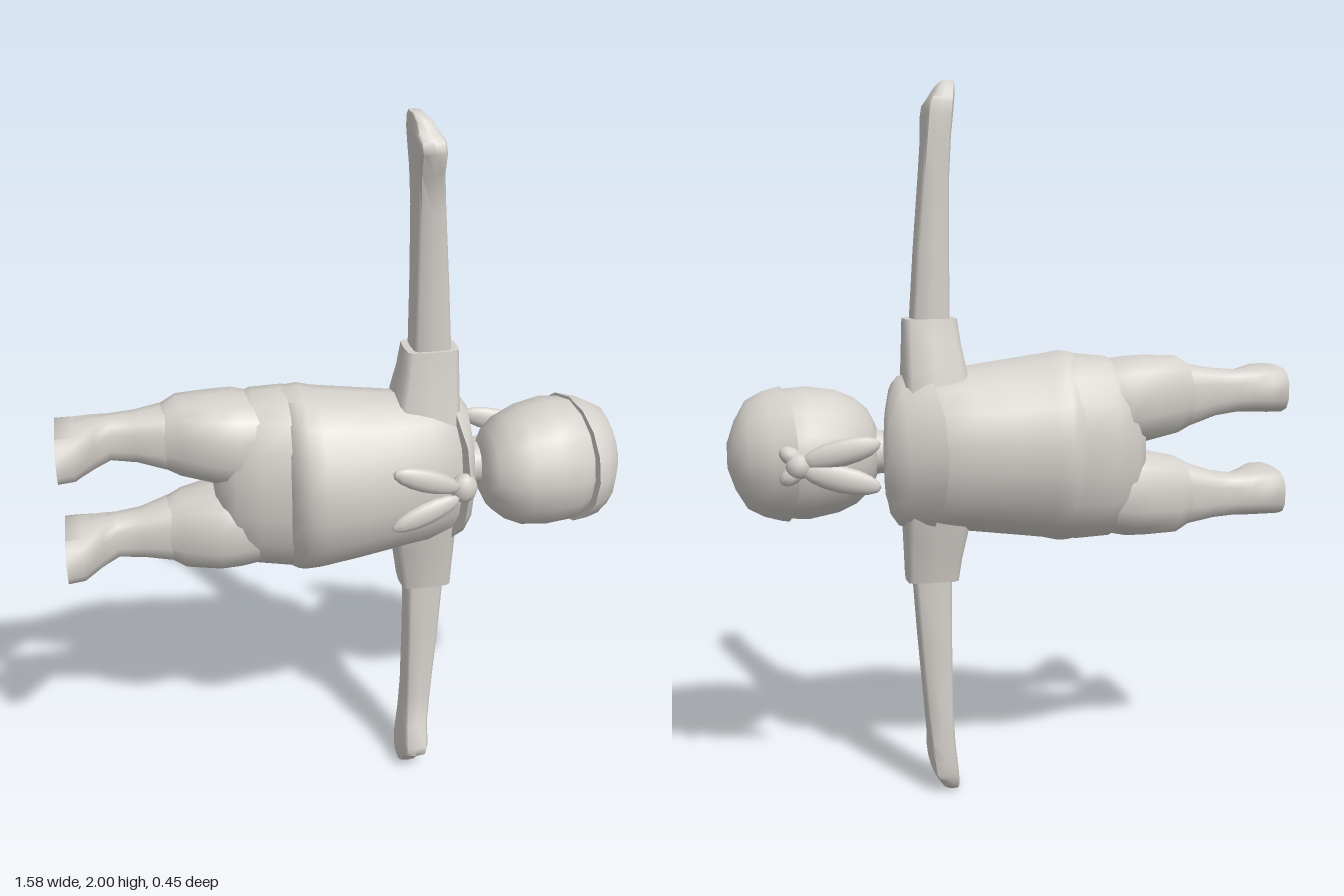
import * as THREE from 'three';
import { toCreasedNormals } from 'three/addons/utils/BufferGeometryUtils.js';

const clay = new THREE.MeshStandardMaterial({ color: 0xd4d0cb });
clay.name = 'warm grey clay';

// Skin elliptical sections along an axis (0 = x, 1 = y).
// Section: [position, uMin, uMax, vMin, vMax, tilt]; u and v are the next two axes in cyclic order.
function loft(axis, sections, { sides = 14, square = 1, crease = 0.95 } = {}) {
  const rings = [...sections].sort((a, b) => a[0] - b[0]);
  const u = (axis + 1) % 3, v = (axis + 2) % 3;
  const pos = [], index = [];
  const bend = (t) => Math.sign(t) * (Math.abs(t) < 1e-6 ? 0 : Math.abs(t) ** square);
  const put = (a, b, c, tilt) => {
    const p = [0, 0, 0];
    p[axis] = a + tilt * c; p[u] = b; p[v] = c;
    pos.push(...p);
  };
  for (const [a, u0, u1, v0, v1, tilt = 0] of rings) {
    for (let j = 0; j < sides; j++) {
      const t = (j / sides) * Math.PI * 2;
      put(a, (u0 + u1) / 2 + (u1 - u0) / 2 * bend(Math.cos(t)),
        (v0 + v1) / 2 + (v1 - v0) / 2 * bend(Math.sin(t)), tilt);
    }
  }
  for (let i = 0; i < rings.length - 1; i++) {
    for (let j = 0; j < sides; j++) {
      const k = (j + 1) % sides, a = i * sides, b = a + sides;
      index.push(a + j, a + k, b + j, a + k, b + k, b + j);
    }
  }
  // Close both ends
  const first = rings[0], last = rings[rings.length - 1], n = rings.length * sides;
  for (const [a, u0, u1, v0, v1, tilt = 0] of [first, last]) put(a, (u0 + u1) / 2, (v0 + v1) / 2, tilt);
  for (let j = 0; j < sides; j++) {
    const k = (j + 1) % sides, e = (rings.length - 1) * sides;
    index.push(n, k, j, n + 1, e + j, e + k);
  }
  const g = new THREE.BufferGeometry();
  g.setAttribute('position', new THREE.Float32BufferAttribute(pos, 3));
  g.setIndex(index);
  return toCreasedNormals(g, crease);
}

// Stretched ball laid from one point to another further along +x
function blob(from, to, width, depth) {
  const a = new THREE.Vector3(...from), b = new THREE.Vector3(...to);
  const g = new THREE.SphereGeometry(1, 10, 8);
  g.rotateZ(-Math.PI / 2);
  g.scale(a.distanceTo(b) / 2, width, depth);
  const dir = b.clone().sub(a).normalize();
  g.applyQuaternion(new THREE.Quaternion().setFromUnitVectors(new THREE.Vector3(1, 0, 0), dir));
  const m = a.add(b).multiplyScalar(0.5);
  g.translate(m.x, m.y, m.z);
  return g;
}

export function createModel() {
  const model = new THREE.Group();
  const add = (name, geometry) => {
    const mesh = new THREE.Mesh(geometry, clay);
    mesh.name = name;
    model.add(mesh);
  };

  // Shirt, neck and head run along x; the front faces +z
  add('shirt', loft(0, [
    [-0.18, 0.735, 1.265, -0.194, 0.166],
    [-0.15, 0.728, 1.272, -0.205, 0.205],
    [-0.13, 0.727, 1.273, -0.216, 0.218],
    [-0.09, 0.735, 1.265, -0.211, 0.23],
    [0.02, 0.75, 1.25, -0.20, 0.215],
    [0.13, 0.765, 1.235, -0.187, 0.192],
    [0.22, 0.77, 1.23, -0.168, 0.168],
    [0.30, 0.80, 1.20, -0.135, 0.14],
    [0.33, 0.86, 1.14, -0.08, 0.08],
  ], { sides: 18, crease: 1.2 }));
  add('collar', loft(0, [
    [0.262, 0.773, 1.227, -0.182, 0.172, 0.32],
    [0.322, 0.79, 1.21, -0.148, 0.145, 0.1],
    [0.345, 0.825, 1.175, -0.115, 0.11, -0.1],
    [0.353, 0.87, 1.13, -0.085, 0.08, -0.2],
  ], { sides: 12 }));
  add('neck', loft(0, [[0.32, 0.93, 1.07, -0.06, 0.07], [0.365, 0.94, 1.06, -0.055, 0.065], [0.42, 0.93, 1.07, -0.06, 0.08]]));
  add('head', loft(0, [
    [0.378, 0.93, 1.07, -0.045, 0.14],
    [0.40, 0.885, 1.115, -0.08, 0.17],
    [0.44, 0.85, 1.15, -0.115, 0.197],
    [0.49, 0.828, 1.172, -0.14, 0.217],
    [0.57, 0.815, 1.185, -0.16, 0.212],
    [0.64, 0.82, 1.18, -0.155, 0.20],
    [0.72, 0.86, 1.14, -0.12, 0.155],
  ], { sides: 16 }));
  add('headScarf', loft(0, [
    [0.635, 0.812, 1.188, -0.167, 0.205, 0.22],
    [0.685, 0.825, 1.175, -0.15, 0.195, 0.13],
    [0.733, 0.85, 1.15, -0.12, 0.165, 0.05],
    [0.765, 0.905, 1.095, -0.075, 0.115],
    [0.785, 0.965, 1.035, -0.02, 0.07],
  ], { sides: 16 }));

  // Seat of the trousers, rounded at the crotch
  add('trouserSeat', loft(0, [
    [-0.375, 0.95, 1.05, -0.07, 0.04],
    [-0.36, 0.88, 1.12, -0.12, 0.075],
    [-0.325, 0.775, 1.225, -0.168, 0.114],
    [-0.26, 0.742, 1.258, -0.2, 0.142],
    [-0.17, 0.734, 1.266, -0.194, 0.166],
    [-0.12, 0.74, 1.26, -0.19, 0.18],
  ], { sides: 18, square: 0.9, crease: 1.3 }));

  for (const s of [-1, 1]) {
    const side = s > 0 ? 'Upper' : 'Lower';
    const y = (d) => 1 + s * d;
    const span = (a, b) => (s > 0 ? [1 + a, 1 + b] : [1 - b, 1 - a]);

    // Trouser leg, tapering away inside the seat
    add('trouserLeg' + side, loft(0, [
      [-0.505, ...span(0.053, 0.232), -0.11, 0.04],
      [-0.465, ...span(0.032, 0.256), -0.125, 0.06],
      [-0.37, ...span(0.012, 0.258), -0.157, 0.108],
      [-0.31, ...span(0.0, 0.256), -0.17, 0.112],
      [-0.22, ...span(0.02, 0.24), -0.14, 0.1],
    ], { square: 0.8 }));

    // Shin and foot with a flat sole
    add('leg' + side, loft(0, [
      [-0.79, ...span(0.083, 0.218), -0.10, 0.148],
      [-0.745, ...span(0.083, 0.218), -0.10, 0.138],
      [-0.69, ...span(0.087, 0.215), -0.095, 0.06],
      [-0.65, ...span(0.09, 0.212), -0.088, 0.012],
      [-0.58, ...span(0.08, 0.217), -0.093, 0.022],
      [-0.505, ...span(0.055, 0.23), -0.109, 0.039],
      [-0.47, ...span(0.05, 0.235), -0.11, 0.04],
    ], { square: 0.65, crease: 1.6 }));

    // Boxy sleeve, then arm with a hand whose thumb side swells to +z
    add('sleeve' + side, loft(1, [
      [y(0.14), -0.10, 0.10, 0.12, 0.31],
      [y(0.23), -0.085, 0.085, 0.133, 0.308],
      [y(0.30), -0.067, 0.072, 0.147, 0.306],
      [y(0.368), -0.055, 0.064, 0.156, 0.304],
    ], { sides: 12, square: 0.35 }));
    add('arm' + side, loft(1, [
      [y(0.34), -0.049, 0.054, 0.176, 0.285],
      [y(0.55), -0.049, 0.058, 0.177, 0.27],
      [y(0.75), -0.048, 0.069, 0.175, 0.252],
      [y(0.85), -0.051, 0.082, 0.17, 0.243],
      [y(0.91), -0.052, 0.122, 0.163, 0.238],
      [y(0.94), -0.05, 0.118, 0.16, 0.234],
      [y(0.955), -0.047, 0.09, 0.159, 0.225],
      [y(0.985), -0.035, 0.075, 0.158, 0.205],
      [y(1.0), -0.012, 0.05, 0.158, 0.19],
    ], { sides: 12, square: 0.35 }));

    // Paired tails of the neckerchief and head scarf
    add('neckerchiefTail' + side, blob([0.088, y(0.085), 0.203], [0.28, y(0.015), 0.185], 0.034, 0.022));
    add('scarfTail' + side, blob([0.39, y(0.06), -0.212], [0.595, y(0.01), -0.19], 0.036, 0.022));
    add('scarfLoop' + side, blob([0.59, y(0.005), -0.175], [0.648, y(0.045), -0.172], 0.024, 0.022));
  }

  // Knots at the throat and at the back of the head
  add('neckerchiefKnot', blob([0.262, 1, 0.16], [0.338, 1, 0.152], 0.044, 0.034));
  add('scarfKnot', blob([0.565, 1, -0.182], [0.635, 1, -0.182], 0.034, 0.028));
  return model;
}
